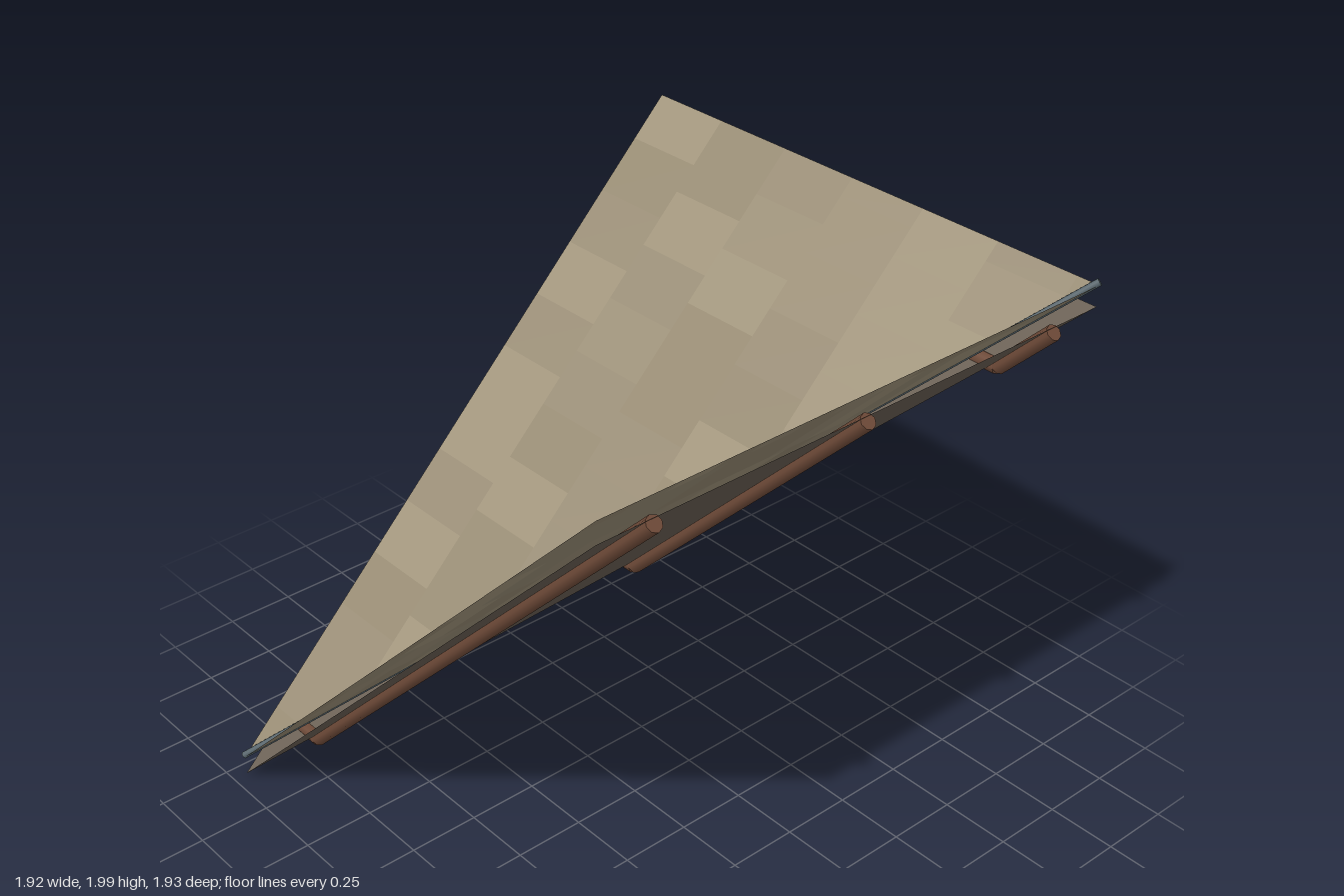
import * as THREE from 'three';

const H = 0.95;        // half width of the square plan
const BASE = 0.955;    // deck height above the plan centre
const LIFT = 0.07;     // gap between deck and tiles

const material = (color, side = THREE.FrontSide) => new THREE.MeshStandardMaterial({ color, side });

// Height of the two slopes that meet in the diagonal valley x = z
const height = (x, z) => BASE + Math.max(x, z);

// Small seeded generator for tile tones
function seeded(seed) {
  return () => (seed = (seed * 16807) % 2147483647) / 2147483647;
}

// Keep the part of a plan polygon lying on one side of the valley
function clip(poly, sign) {
  const out = [];
  poly.forEach((a, i) => {
    const b = poly[(i + 1) % poly.length];
    const fa = sign * (a[1] - a[0]), fb = sign * (b[1] - b[0]);
    if (fa >= 0) out.push(a);
    if (fa * fb < 0) {
      const t = fa / (fa - fb);
      out.push([a[0] + (b[0] - a[0]) * t, a[1] + (b[1] - a[1]) * t]);
    }
  });
  return out;
}

// Plan rectangle, ordered so that its face points up
const rect = (x0, z0, x1, z1) => [[x0, z0], [x0, z1], [x1, z1], [x1, z0]];

// Fan of triangles for a plan polygon raised onto the slopes
function addPolygon(positions, poly, lift) {
  for (let i = 1; i + 1 < poly.length; i++) {
    for (const [x, z] of [poly[0], poly[i], poly[i + 1]]) positions.push(x, height(x, z) + lift, z);
  }
}

function sheet(name, positions, color) {
  const geometry = new THREE.BufferGeometry();
  geometry.setAttribute('position', new THREE.Float32BufferAttribute(positions, 3));
  geometry.computeVertexNormals();
  const mesh = new THREE.Mesh(geometry, material(color, THREE.DoubleSide));
  mesh.name = name;
  return mesh;
}

// Round bar between two points
function bar(name, from, to, radius, color) {
  const dir = to.clone().sub(from);
  const mesh = new THREE.Mesh(new THREE.CylinderGeometry(radius, radius, dir.length(), 8), material(color));
  mesh.position.copy(from).add(to).multiplyScalar(0.5);
  mesh.quaternion.setFromUnitVectors(new THREE.Vector3(0, 1, 0), dir.normalize());
  mesh.name = name;
  return mesh;
}

export function createModel() {
  const model = new THREE.Group();
  model.name = 'valleyRoofCorner';
  const slopes = [['front', 1], ['side', -1]];

  // Deck: one thin triangle per slope
  for (const [label, sign] of slopes) {
    const positions = [];
    addPolygon(positions, clip(rect(-H, -H, H, H), sign), 0);
    model.add(sheet(label + 'Deck', positions, 0x695f53));
  }

  // Tiles: staggered rows in slightly different tones
  const tones = [0x978b73, 0x9c9078, 0xa1957c, 0x998d76];
  const rowDepth = 0.304, tileWidth = 0.148;
  for (const [label, sign] of slopes) {
    const random = seeded(17);
    const lists = tones.map(() => []);
    for (let row = 0; row < 7; row++) {
      const z0 = Math.max(-H, -0.954 + row * rowDepth);
      const z1 = Math.min(H, -0.954 + (row + 1) * rowDepth);
      for (let col = -1; col < 14; col++) {
        const start = -H + (col + (row % 2) / 2) * tileWidth;
        const x0 = Math.max(-H, start), x1 = Math.min(H, start + tileWidth);
        const tone = Math.floor(random() * tones.length);
        if (x1 - x0 < 1e-6) continue;
        addPolygon(lists[tone], clip(rect(x0, z0, x1, z1), sign), LIFT);
      }
    }
    const tiles = new THREE.Group();
    tiles.name = label + 'Tiles';
    lists.forEach((list, i) => tiles.add(sheet('tiles' + (i + 1), list, tones[i])));
    model.add(tiles);
  }

  // Valley pipe along the diagonal
  const valleyEnd = (s) => new THREE.Vector3(s, BASE + s + LIFT + 0.011, s);
  model.add(bar('valleyPipe', valleyEnd(-H), valleyEnd(H), 0.0125, 0x55636a));

  // Beams: sloping under the front deck, then level under the side deck
  for (const x of [-0.762, 0, 0.762]) {
    const point = (z) => new THREE.Vector3(x, height(x, z) - 0.018, z);
    const beam = new THREE.Group();
    beam.name = 'beam';
    beam.add(bar('slopingBeam', point(x), point(H), 0.026, 0x6e4a38));
    beam.add(bar('levelBeam', point(-H), point(x), 0.026, 0x6e4a38));
    model.add(beam);
  }
  return model;
}
